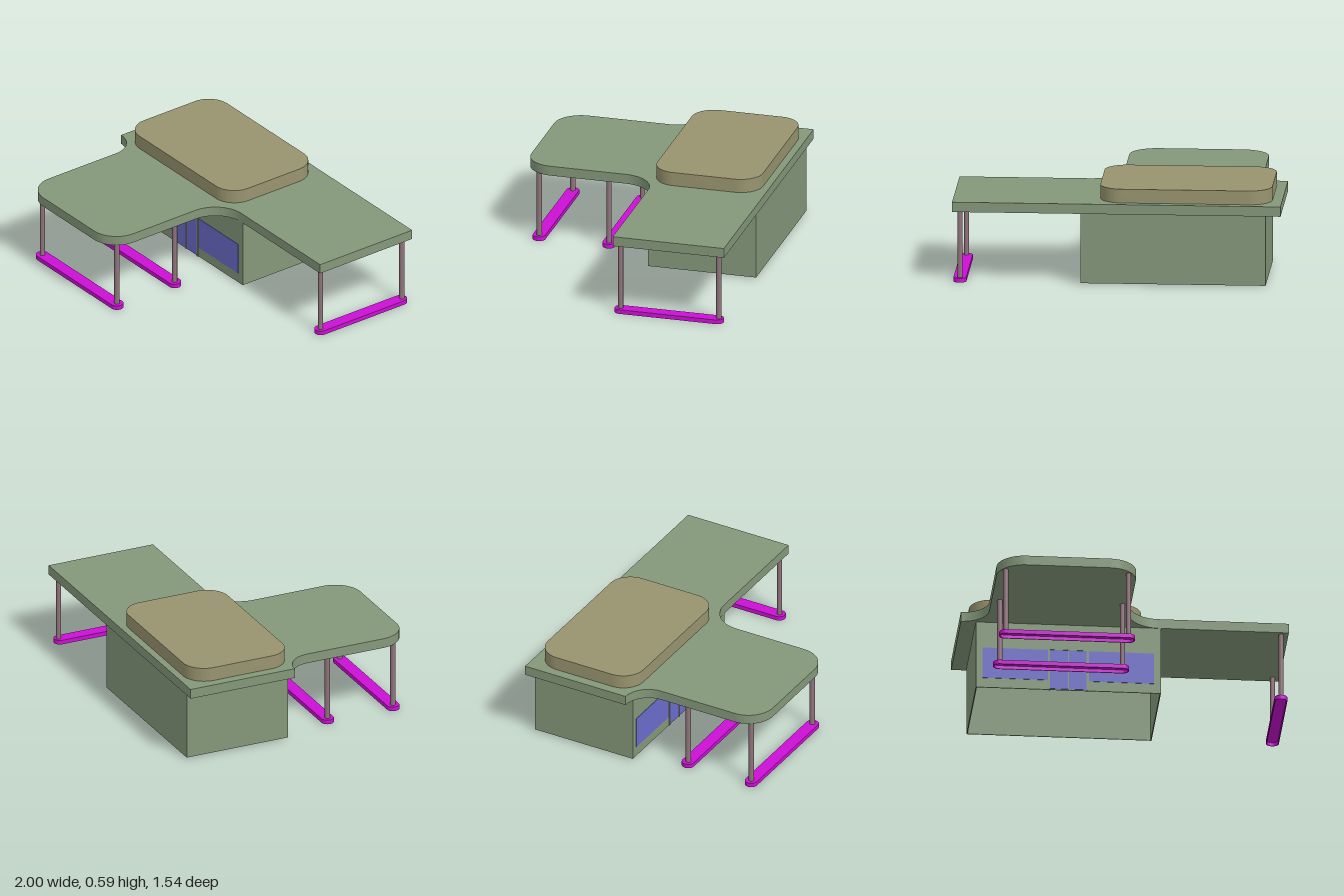
import * as THREE from 'three';
import { toCreasedNormals } from 'three/addons/utils/BufferGeometryUtils.js';

const mat = (color) => new THREE.MeshStandardMaterial({ color });
const green = mat(0x84987a), tan = mat(0x98946f), blue = mat(0x6c6ccb);
const magenta = mat(0xcc10d4), mauve = mat(0x8f747c);

// Rounded rectangle in plan (x, z)
function roundRect(x0, z0, x1, z1, r, Type = THREE.Shape) {
  const s = new Type();
  s.moveTo(x0 + r, z0);
  s.lineTo(x1 - r, z0);
  s.absarc(x1 - r, z0 + r, r, -Math.PI / 2, 0, false);
  s.lineTo(x1, z1 - r);
  s.absarc(x1 - r, z1 - r, r, 0, Math.PI / 2, false);
  s.lineTo(x0 + r, z1);
  s.absarc(x0 + r, z1 - r, r, Math.PI / 2, Math.PI, false);
  s.lineTo(x0, z0 + r);
  s.absarc(x0 + r, z0 + r, r, Math.PI, Math.PI * 1.5, false);
  return s;
}

// Plan outline raised from y0 to y1
function slab(name, shape, y0, y1, material) {
  const g = new THREE.ExtrudeGeometry(shape, { depth: y1 - y0, bevelEnabled: false, curveSegments: 12 });
  g.rotateX(Math.PI / 2).translate(0, y1, 0);
  const m = new THREE.Mesh(toCreasedNormals(g, 0.6), material);
  m.name = name;
  return m;
}

function box(name, x0, x1, y0, y1, z0, z1, material) {
  const m = new THREE.Mesh(new THREE.BoxGeometry(x1 - x0, y1 - y0, z1 - z0), material);
  m.position.set((x0 + x1) / 2, (y0 + y1) / 2, (z0 + z1) / 2);
  m.name = name;
  return m;
}

// Two posts standing on a round-ended rail that is hollow underneath
function postFrame(name, x0, z0, x1, z1, posts) {
  const group = new THREE.Group();
  group.name = name;
  const r = Math.min(x1 - x0, z1 - z0) / 2 - 0.0005, t = 0.006;
  const rim = roundRect(x0, z0, x1, z1, r);
  rim.holes.push(roundRect(x0 + t, z0 + t, x1 - t, z1 - t, r - t, THREE.Path));
  group.add(slab('railRim', rim, 0, 0.021, magenta));
  group.add(slab('railTop', roundRect(x0, z0, x1, z1, r), 0.021, 0.027, magenta));
  for (const [x, z] of posts) {
    const post = new THREE.Mesh(new THREE.CylinderGeometry(0.016, 0.016, 0.418, 20), mauve);
    post.position.set(x, 0.236, z);
    post.name = 'post';
    group.add(post);
  }
  return group;
}

export function createModel() {
  const model = new THREE.Group();
  model.name = 'pavilion';

  // Main roof with a rounded front canopy, blended in by concave fillets
  const roof = new THREE.Shape();
  roof.moveTo(-1, -0.775);
  roof.lineTo(1, -0.775);
  roof.lineTo(1, -0.073);
  roof.lineTo(0.21, -0.073);
  roof.absarc(0.21, 0.127, 0.2, -Math.PI / 2, -Math.PI, true);
  roof.lineTo(0.01, 0.6);
  roof.absarc(-0.16, 0.6, 0.17, 0, Math.PI / 2, false);
  roof.lineTo(-0.67, 0.77);
  roof.absarc(-0.67, 0.6, 0.17, Math.PI / 2, Math.PI, false);
  roof.lineTo(-0.84, 0.087);
  roof.absarc(-1, 0.087, 0.16, 0, -Math.PI / 2, true);
  roof.lineTo(-1, -0.775);
  model.add(slab('roof', roof, 0.443, 0.504, green));

  // Raised upper roof
  model.add(slab('upperRoof', roundRect(-0.94, -0.73, 0.108, -0.062, 0.14), 0.504, 0.59, tan));

  // Building walls, open underneath
  const [x0, x1, zb, zf, t] = [-0.908, 0.22, -0.757, -0.075, 0.006];
  const outline = (d) => [[x0 + d, zb + d], [x1 - d, zb + d], [x1 - d, zf - d], [x0 + d, zf - d]]
    .map(([x, z]) => new THREE.Vector2(x, z));
  const walls = new THREE.Shape(outline(0));
  walls.holes.push(new THREE.Path(outline(t)));
  model.add(slab('walls', walls, 0.007, 0.443, green));

  // Windows and double doors show on both faces of the front wall
  for (const [a, b] of [[-0.868, -0.47], [-0.22, 0.177]])
    model.add(box('window', a, b, 0.07, 0.272, zf - 0.01, zf + 0.003, blue));
  for (const [a, b] of [[-0.457, -0.346], [-0.342, -0.234]])
    model.add(box('door', a, b, 0.012, 0.272, zf - 0.01, zf + 0.004, blue));

  // Door frame
  for (const [a, b] of [[-0.466, -0.457], [-0.346, -0.342], [-0.234, -0.225]])
    model.add(box('doorJamb', a, b, 0.007, 0.272, zf - 0.011, zf + 0.007, green));
  model.add(box('doorHead', -0.466, -0.225, 0.272, 0.281, zf - 0.011, zf + 0.007, green));

  // Post frames under the canopy and at the end of the wing
  for (const z of [0.687, 0.246])
    model.add(postFrame('canopySupport', -0.83, z - 0.039, -0.002, z + 0.039, [[-0.79, z], [-0.042, z]]));
  model.add(postFrame('wingSupport', 0.916, -0.76, 0.994, -0.073, [[0.955, -0.73], [0.955, -0.11]]));

  return model;
}
